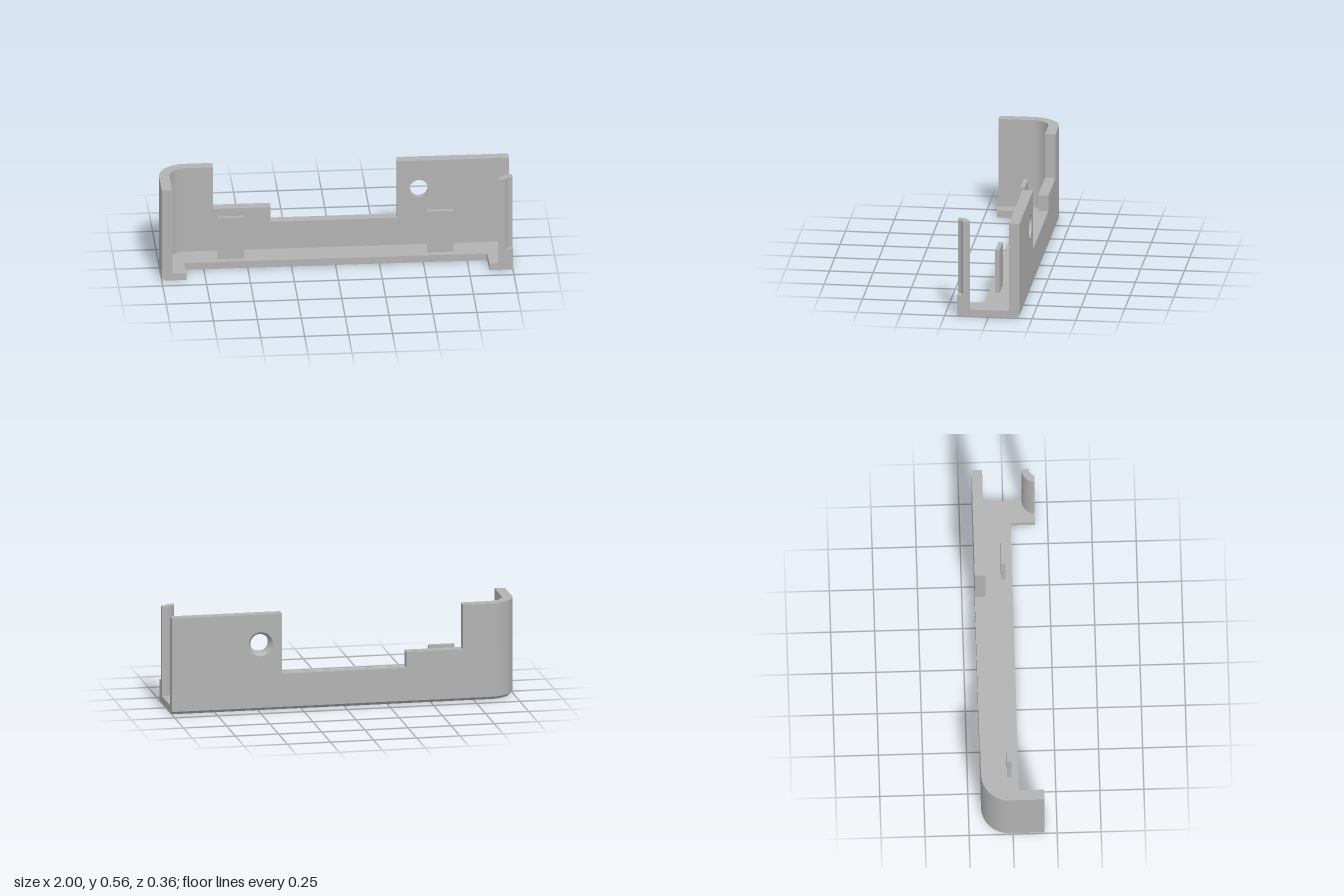
import * as THREE from 'three';
import { toCreasedNormals } from 'three/addons/utils/BufferGeometryUtils.js';

const BACK = 0.178, FRONT = 0.178, WALL = 0.06, FLOOR = 0.042, TOP = 0.562;
const CHAMFER = 0.017, R = 0.16, CX = -1 + R, CS = BACK - R; // rounded rear corner
const HOLE = { x: 0.487, y: 0.388, r: 0.053, sink: 0.07 };

const smooth = (g) => toCreasedNormals(g, 0.6);

// Extrude a plan drawn as (x, -z) from height y0 to y1
function extrudeUp(shape, y0, y1) {
  const g = new THREE.ExtrudeGeometry(shape, { depth: y1 - y0, bevelEnabled: false, curveSegments: 20 });
  return g.rotateX(-Math.PI / 2).translate(0, y0, 0);
}

// Floor plan with two forward ears
function floorPlan() {
  const s = new THREE.Shape();
  s.moveTo(-1, -FRONT);
  s.lineTo(-0.86, -FRONT);
  s.lineTo(-0.86, -0.055);
  s.quadraticCurveTo(-0.86, -0.04, -0.845, -0.04);
  s.lineTo(0.85, -0.04);
  s.quadraticCurveTo(0.865, -0.04, 0.865, -0.055);
  s.lineTo(0.865, -FRONT);
  s.lineTo(1, -FRONT);
  s.lineTo(1, BACK);
  s.lineTo(CX, BACK);
  s.absarc(CX, CS, R, Math.PI / 2, Math.PI, false);
  s.closePath();
  return s;
}

// Lower floor layer: pull the bottom rim inwards along the back, corner and side
function chamferedFloor() {
  const g = extrudeUp(floorPlan(), 0, CHAMFER);
  const p = g.attributes.position, near = (a, b) => Math.abs(a - b) < 1e-4;
  for (let i = 0; i < p.count; i++) {
    if (p.getY(i) > 1e-4) continue;
    const x = p.getX(i), z = p.getZ(i);
    if (x <= CX + 1e-4 && z <= -CS + 1e-4) {
      const k = (R - CHAMFER) / R;
      p.setX(i, CX + (x - CX) * k);
      p.setZ(i, -CS + (z + CS) * k);
    } else if (near(z, -BACK)) p.setZ(i, z + CHAMFER);
    else if (near(x, -1)) p.setX(i, x + CHAMFER);
  }
  return smooth(g);
}

// Side wall and rounded corner
function cornerPlan() {
  const s = new THREE.Shape();
  s.moveTo(-1, -FRONT);
  s.lineTo(-1 + WALL, -FRONT);
  s.lineTo(-1 + WALL, CS);
  s.absarc(CX, CS, R - WALL, Math.PI, Math.PI / 2, true);
  s.lineTo(CX, BACK);
  s.absarc(CX, CS, R, Math.PI / 2, Math.PI, false);
  s.closePath();
  return s;
}

// Stepped back wall layer with a round hole
function backLayer(holeRadius, z, depth) {
  const s = new THREE.Shape([
    [CX, FLOOR], [1, FLOOR], [1, TOP], [0.363, TOP], [0.363, 0.21],
    [-0.357, 0.21], [-0.357, 0.302], [-0.685, 0.302], [-0.685, TOP], [CX, TOP],
  ].map(([x, y]) => new THREE.Vector2(x, y)));
  const hole = new THREE.Path();
  hole.absarc(HOLE.x, HOLE.y, holeRadius, 0, Math.PI * 2, true);
  s.holes.push(hole);
  return new THREE.ExtrudeGeometry(s, { depth, bevelEnabled: false, curveSegments: 20 }).translate(0, 0, z);
}

// Rear layer: the hole tapers from wide at the back to narrow inside
function countersunkLayer(depth) {
  const g = backLayer(HOLE.sink, -BACK, depth), p = g.attributes.position;
  for (let i = 0; i < p.count; i++) {
    const dx = p.getX(i) - HOLE.x, dy = p.getY(i) - HOLE.y;
    if (p.getZ(i) < -BACK + 0.001 || Math.hypot(dx, dy) > HOLE.sink + 0.001) continue;
    p.setX(i, HOLE.x + dx * HOLE.r / HOLE.sink);
    p.setY(i, HOLE.y + dy * HOLE.r / HOLE.sink);
  }
  return smooth(g);
}

// Corner post plan, optionally grooved by a smaller arc
function postPlan(groove) {
  const c = -0.19, r = 0.085, end = (q) => Math.PI - Math.asin((-FRONT - c) / q);
  const s = new THREE.Shape();
  s.absarc(1, c, r, Math.PI / 2, end(r), false);
  if (groove) s.absarc(1, c, groove, end(groove), Math.PI / 2, true);
  else s.lineTo(1, -FRONT);
  s.closePath();
  return s;
}

export function createModel() {
  const group = new THREE.Group();
  const grey = new THREE.MeshStandardMaterial({ color: 0xb2b2b2 });
  grey.name = 'grey';
  const add = (name, geometry) => {
    const mesh = new THREE.Mesh(geometry, grey);
    mesh.name = name;
    group.add(mesh);
    return mesh;
  };

  add('floorChamfer', chamferedFloor());
  add('floor', smooth(extrudeUp(floorPlan(), CHAMFER, FLOOR)));
  add('sideWall', smooth(extrudeUp(cornerPlan(), FLOOR, TOP)));
  add('backWallOuter', countersunkLayer(0.03));
  add('backWallInner', smooth(backLayer(HOLE.r, -BACK + 0.03, WALL - 0.03)));

  // Upright tabs on the floor
  for (const [name, x] of [['rightTab', -0.593], ['leftTab', 0.6]]) {
    add(name, new THREE.BoxGeometry(0.15, 0.297 - FLOOR, 0.025))
      .position.set(x, (0.297 + FLOOR) / 2, -0.0125);
  }

  // Post: solid foot with a grooved upper part
  add('postFoot', smooth(extrudeUp(postPlan(0), FLOOR, 0.127)));
  add('post', smooth(extrudeUp(postPlan(0.044), 0.127, TOP)));
  return group;
}
